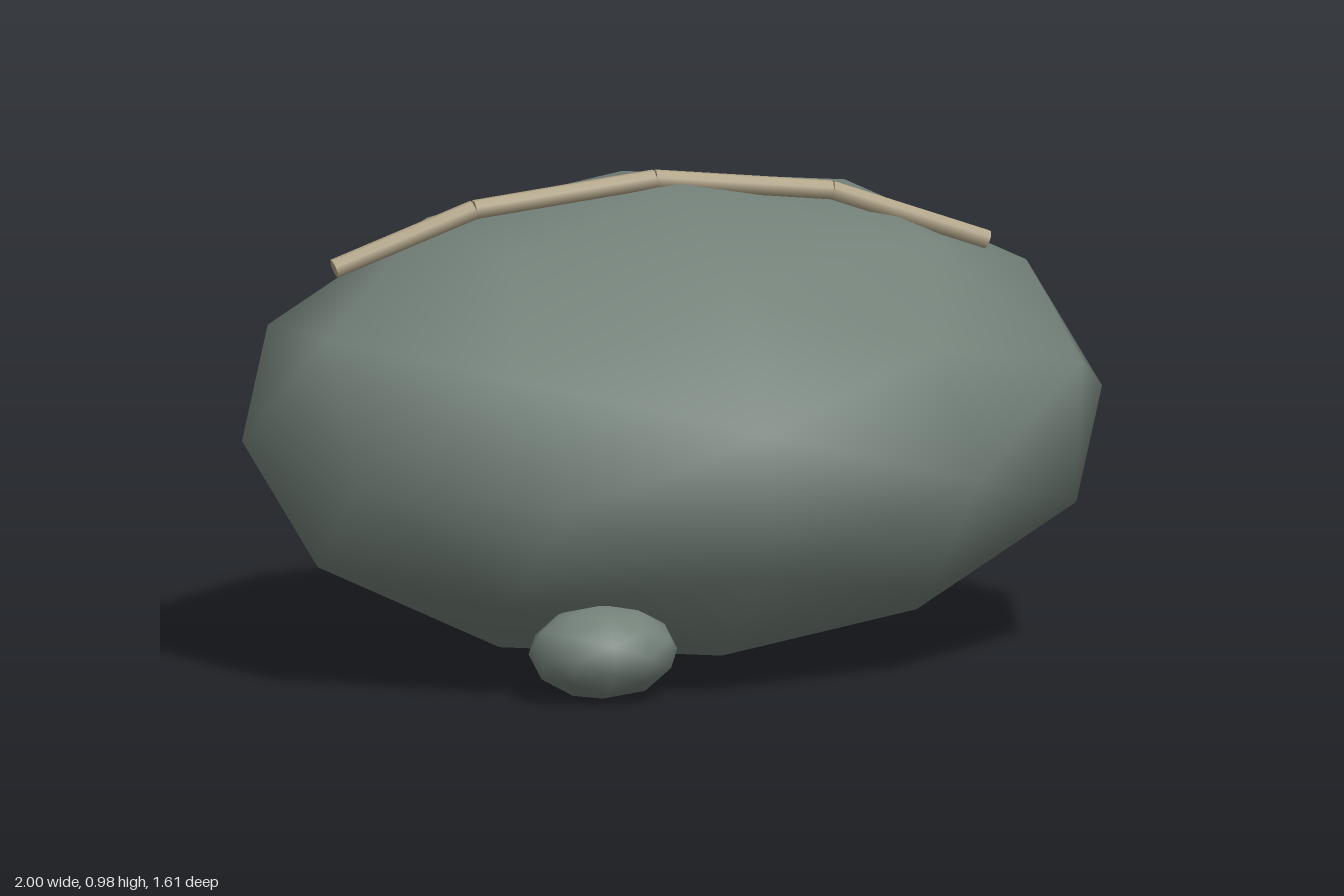
import * as THREE from 'three';

const stone = new THREE.MeshStandardMaterial({ color: 0x74827a });
const twine = new THREE.MeshStandardMaterial({ color: 0xb3a68a });

// Low-poly stone with smooth shading
function makeStone(name, radii, position, rotation = [0, 0, 0]) {
  const mesh = new THREE.Mesh(new THREE.IcosahedronGeometry(1, 1), stone);
  mesh.name = name;
  mesh.scale.set(...radii);
  mesh.position.set(...position);
  mesh.rotation.set(...rotation);
  return mesh;
}

// Straight rod between two points
function makeRod(name, a, b, radius) {
  const dir = b.clone().sub(a);
  const mesh = new THREE.Mesh(new THREE.CylinderGeometry(radius, radius, dir.length(), 8), twine);
  mesh.name = name;
  mesh.position.copy(a).add(b).multiplyScalar(0.5);
  mesh.quaternion.setFromUnitVectors(new THREE.Vector3(0, 1, 0), dir.normalize());
  return mesh;
}

export function createModel() {
  const model = new THREE.Group();
  model.name = 'boulder';

  // Main boulder, slightly tilted, and a pebble at its foot
  model.add(makeStone('mainStone', [1.007, 0.478, 0.815], [0, 0.48, 0], [0.08, 0.12, 0.03]));
  model.add(makeStone('pebble', [0.162, 0.097, 0.143], [-0.607, 0.098, 0.432]));

  // Pale band lying diagonally over the top
  const band = new THREE.Group();
  band.name = 'band';
  const points = [
    [-0.65, 0.81, -0.315],
    [-0.39, 0.92, -0.175],
    [-0.045, 0.966, -0.005],
    [0.29, 0.928, 0.165],
    [0.595, 0.81, 0.305],
  ].map((p) => new THREE.Vector3(...p));
  for (let i = 0; i < points.length - 1; i++) {
    band.add(makeRod('bandSegment' + (i + 1), points[i], points[i + 1], 0.02));
  }
  model.add(band);
  return model;
}
